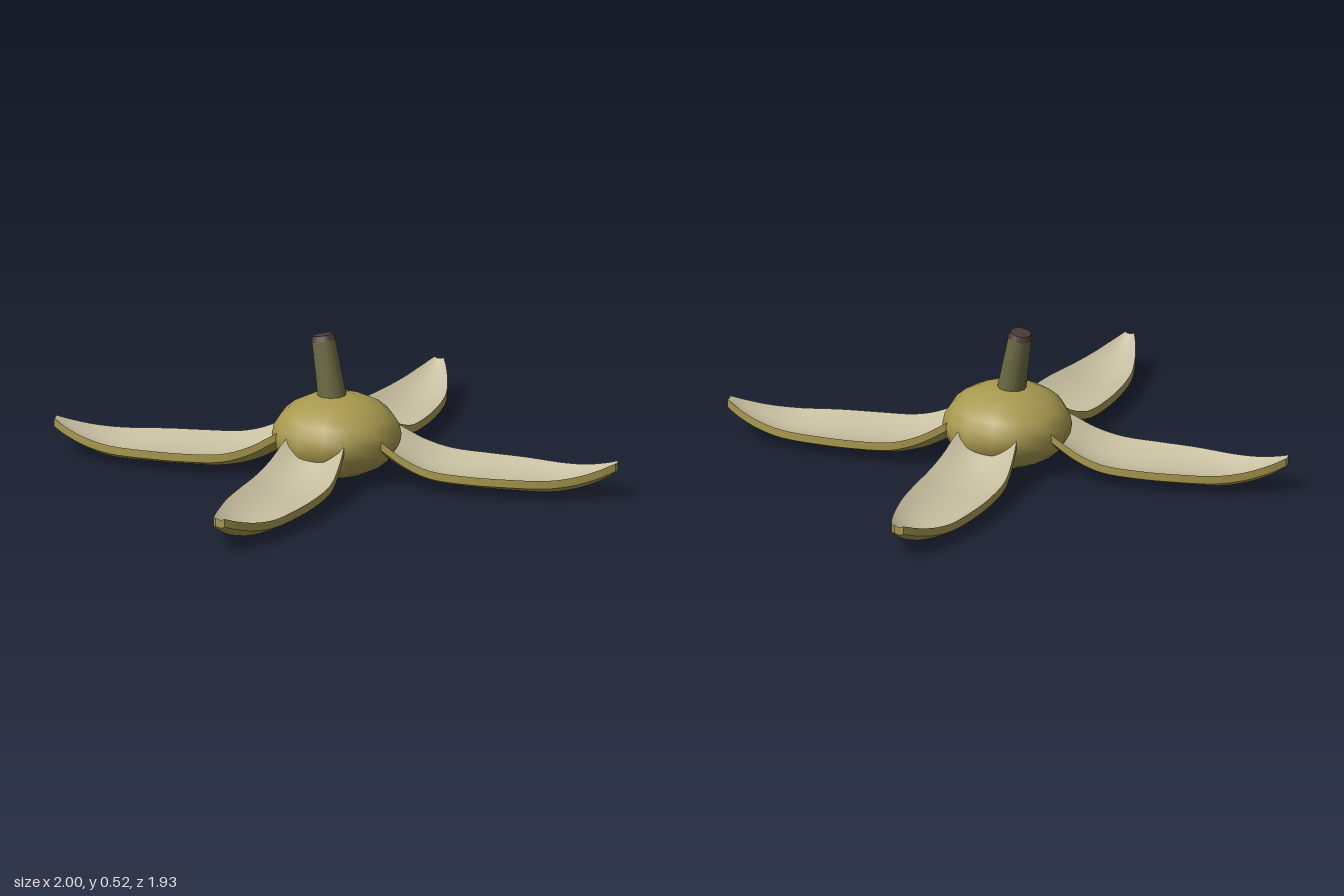
import * as THREE from 'three';

const mat = (name, color, side = THREE.FrontSide) => {
  const m = new THREE.MeshStandardMaterial({ color, side });
  m.name = name;
  return m;
};

// Smooth surface from a rule f(a, b) with a and b in 0..1
function surface(f, na, nb, flip) {
  const pos = [], idx = [];
  for (let i = 0; i <= na; i++)
    for (let j = 0; j <= nb; j++) pos.push(...f(i / na, j / nb));
  for (let i = 0; i < na; i++)
    for (let j = 0; j < nb; j++) {
      const p = i * (nb + 1) + j, q = p + nb + 1;
      if (flip) idx.push(p, q, p + 1, p + 1, q, q + 1);
      else idx.push(p, p + 1, q, p + 1, q + 1, q);
    }
  const g = new THREE.BufferGeometry();
  g.setAttribute('position', new THREE.Float32BufferAttribute(pos, 3));
  g.setIndex(idx);
  g.computeVertexNormals();
  return g;
}

// Petal stations: distance out, height of the middle, half width, lift of the edges
const STATIONS = [
  [0.12, 0.155, 0.09, 0.05],
  [0.20, 0.113, 0.115, 0.052],
  [0.29, 0.068, 0.132, 0.048],
  [0.39, 0.044, 0.146, 0.042],
  [0.52, 0.038, 0.149, 0.04],
  [0.66, 0.036, 0.14, 0.04],
  [0.80, 0.037, 0.115, 0.038],
  [0.90, 0.058, 0.083, 0.029],
  [0.98, 0.091, 0.049, 0.018],
  [1.035, 0.126, 0.018, 0.005],
];
const THICK = 0.03;
const spline = (k, l) => new THREE.CatmullRomCurve3(
  STATIONS.map((s) => new THREE.Vector3(s[0], s[k], l ? s[l] : 0)), false, 'catmullrom', 0.5);
const middle = spline(1), section = spline(2, 3);

function petalPoint(a, s, drop = 0) {
  const m = middle.getPoint(a), c = section.getPoint(a);
  return [m.x, m.y + c.z * s * s - drop, c.y * s];
}

function makePetal(inner, outer) {
  const petal = new THREE.Group();
  const add = (name, geo, material) => {
    const mesh = new THREE.Mesh(geo, material);
    mesh.name = name;
    petal.add(mesh);
  };
  const N = 36, M = 12;
  add('petalInside', surface((a, b) => petalPoint(a, b * 2 - 1), N, M, false), inner);
  add('petalOutside', surface((a, b) => petalPoint(a, b * 2 - 1, THICK), N, M, true), outer);
  // Side walls and blunt tip
  for (const s of [-1, 1])
    add('petalRim', surface((a, b) => petalPoint(a, s, THICK * b), N, 1, s < 0), outer);
  add('petalTip', surface((a, b) => petalPoint(1, a * 2 - 1, THICK * b), 4, 1, true), outer);
  return petal;
}

export function createModel() {
  const model = new THREE.Group();
  model.name = 'openedHusk';
  const husk = mat('huskOlive', 0xa8994f, THREE.DoubleSide);
  const cream = mat('innerCream', 0xc6be9f, THREE.DoubleSide);
  const stemGreen = mat('stemGreen', 0x6b6a42);
  const capBrown = mat('capBrown', 0x4c3a34);

  // Flattened round core
  const core = new THREE.Mesh(new THREE.SphereGeometry(0.231, 14, 12), husk);
  core.name = 'core';
  core.scale.y = 0.149 / 0.231;
  core.position.set(0, 0.149, 0.01);
  model.add(core);

  // Four spread petals, slightly unevenly turned
  [16, 114, 195, 291].forEach((deg, i) => {
    const petal = makePetal(cream, husk);
    petal.name = 'petal' + (i + 1);
    petal.position.z = 0.01;
    petal.rotation.y = -THREE.MathUtils.degToRad(deg);
    model.add(petal);
  });

  // Leaning stem with a dark cut end
  const from = new THREE.Vector3(-0.01, 0.25, 0.007);
  const to = new THREE.Vector3(-0.047, 0.495, -0.023);
  const dir = to.clone().sub(from);
  const stem = new THREE.Group();
  stem.name = 'stem';
  stem.position.copy(from);
  stem.quaternion.setFromUnitVectors(new THREE.Vector3(0, 1, 0), dir.clone().normalize());
  const len = dir.length();
  const shaft = new THREE.Mesh(new THREE.CylinderGeometry(0.042, 0.053, len, 12), stemGreen);
  shaft.name = 'stemShaft';
  shaft.position.y = len / 2;
  const cap = new THREE.Mesh(new THREE.CylinderGeometry(0.037, 0.045, 0.02, 12), capBrown);
  cap.name = 'stemCap';
  cap.position.y = len + 0.004;
  stem.add(shaft, cap);
  model.add(stem);

  return model;
}
